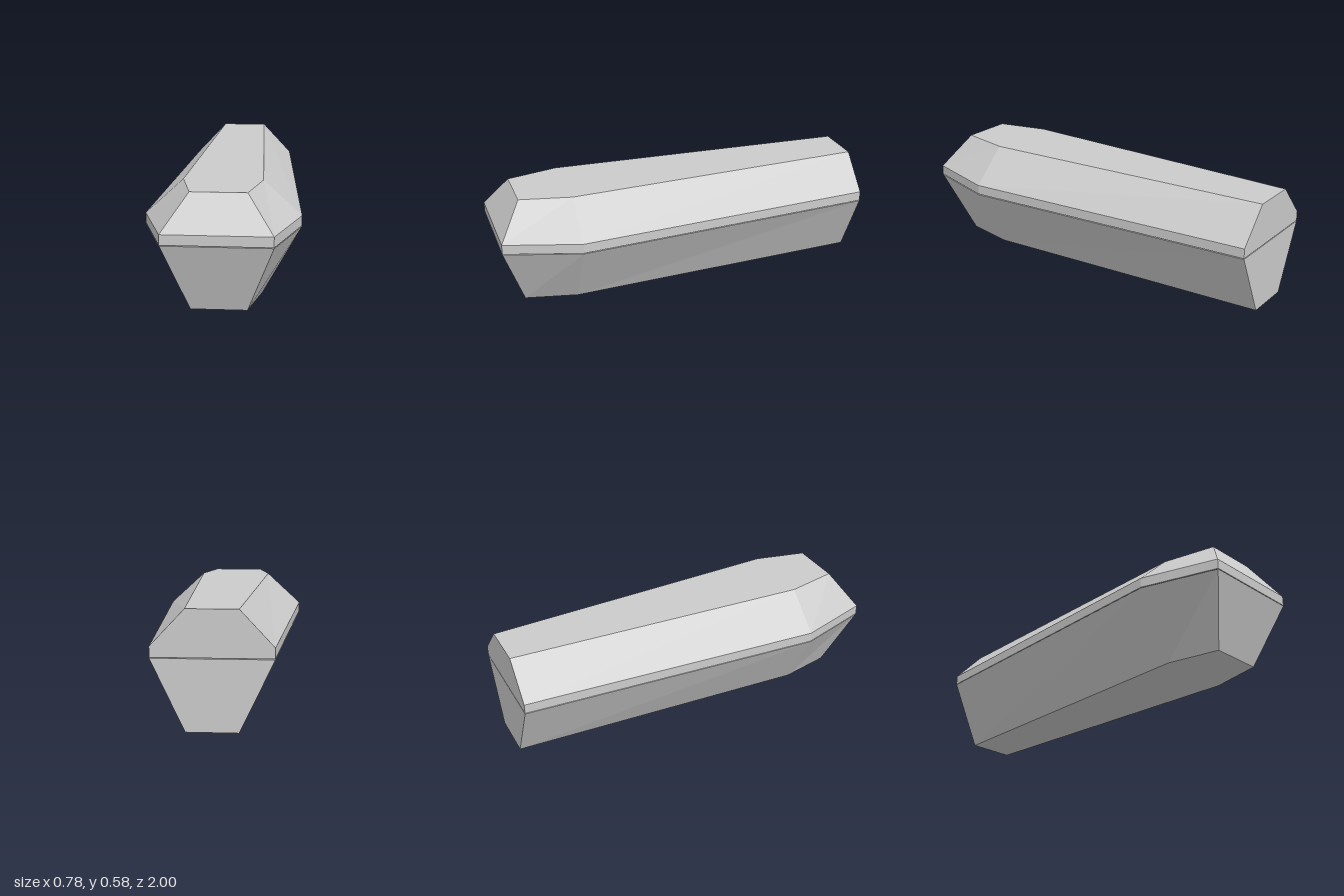
import * as THREE from 'three';

// Half-outlines [x, z] from the head end (+z) past the shoulder to the foot (-z)
const RIM = [[0.265, 1], [0.388, 0.61], [0.29, -1]];
const PANEL = [[0.137, 0.88], [0.197, 0.61], [0.125, -1]];

// Mirror a half-outline into a closed ring at height y
function ring(half, y) {
  const mirrored = half.map(([x, z]) => [-x, z]).reverse();
  return [...half, ...mirrored].map(([x, z]) => [x, y, z]);
}

// Closed, faceted solid through a stack of rings, bottom to top
function loft(name, rings) {
  const n = rings[0].length;
  const pos = [];
  const tri = (a, b, c) => pos.push(...a, ...b, ...c);
  for (let r = 0; r < rings.length - 1; r++) {
    const lo = rings[r], hi = rings[r + 1];
    for (let i = 0; i < n; i++) {
      const j = (i + 1) % n;
      tri(lo[i], lo[j], hi[j]);
      tri(lo[i], hi[j], hi[i]);
    }
  }
  const bottom = rings[0], top = rings[rings.length - 1];
  for (let i = 1; i < n - 1; i++) {
    tri(bottom[0], bottom[i + 1], bottom[i]);
    tri(top[0], top[i], top[i + 1]);
  }
  const geo = new THREE.BufferGeometry();
  geo.setAttribute('position', new THREE.Float32BufferAttribute(pos, 3));
  geo.computeVertexNormals();
  const mesh = new THREE.Mesh(geo, new THREE.MeshStandardMaterial({ color: 0xcccccc, flatShading: true }));
  mesh.name = name;
  return mesh;
}

export function createModel() {
  const group = new THREE.Group();
  group.name = 'coffin';
  // Box flaring up to the rim
  group.add(loft('coffinBase', [ring(PANEL, 0), ring(RIM, 0.346)]));
  // Lid with a short upright edge and a bevelled top, a hairline above the base
  group.add(loft('coffinLid', [ring(RIM, 0.35), ring(RIM, 0.401), ring(PANEL, 0.577)]));
  return group;
}
